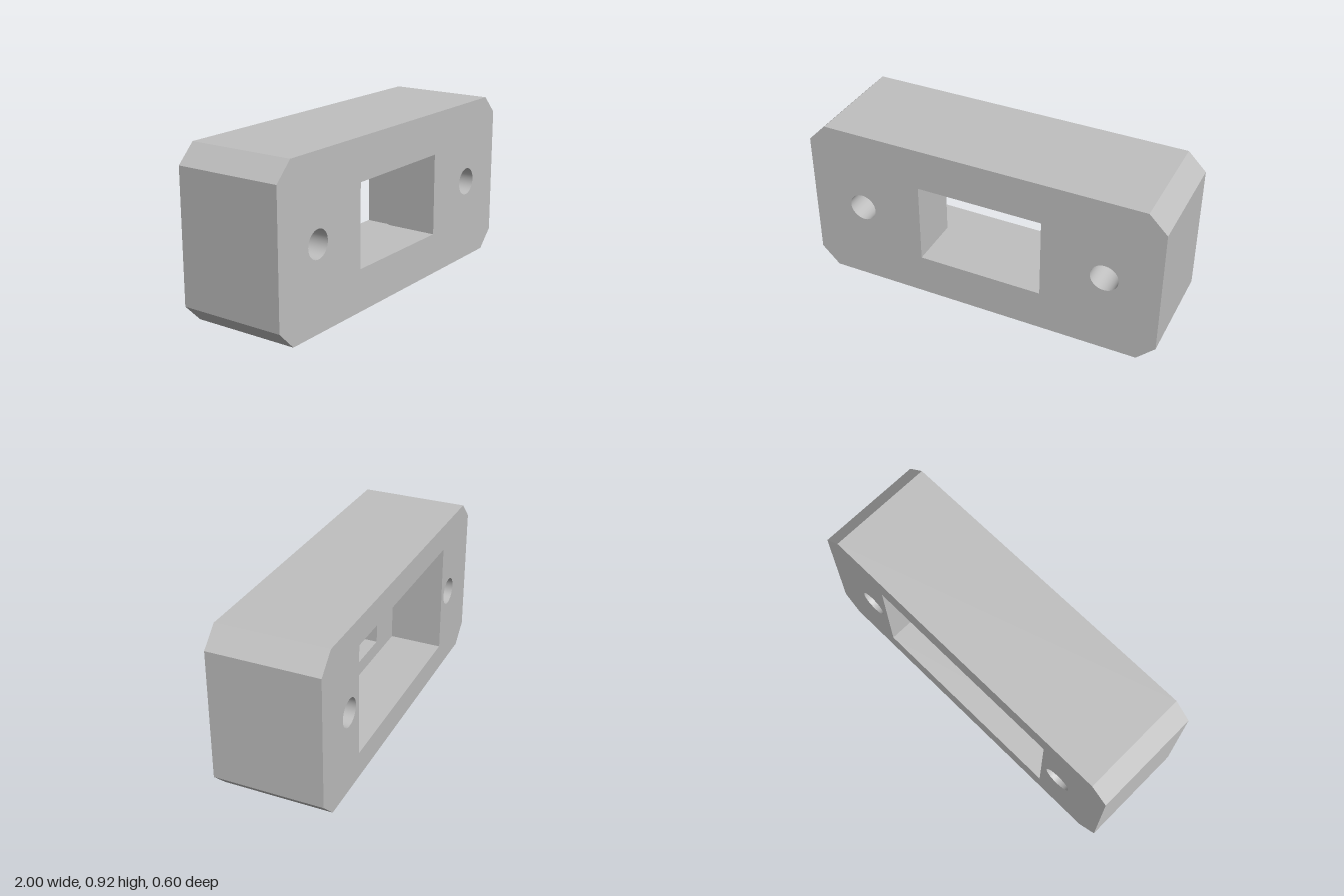
import * as THREE from 'three';

const HALF_DEPTH = 0.3, HALF_HEIGHT = 0.46, CHAMFER = 0.1;
const HOLE_X = 0.7, HOLE_R = 0.077;

// Corner loop of a rectangle centred on the origin, counter-clockwise
const rect = (hx, hy) => [[-hx, -hy], [hx, -hy], [hx, hy], [-hx, hy]];

const toPoints = (loop) => loop.map(([x, y]) => new THREE.Vector2(x, y));

// Flat quads along a loop from z0 to z1; counter-clockwise loops face outward
function wallGeometry(loop, z0, z1) {
  const pos = [];
  loop.forEach(([ax, ay], i) => {
    const [bx, by] = loop[(i + 1) % loop.length];
    pos.push(ax, ay, z0, bx, by, z0, bx, by, z1);
    pos.push(ax, ay, z0, bx, by, z1, ax, ay, z1);
  });
  const geo = new THREE.BufferGeometry();
  geo.setAttribute('position', new THREE.Float32BufferAttribute(pos, 3));
  geo.computeVertexNormals();
  return geo;
}

// Flat face with a rectangular opening and, optionally, the two bolt holes
function faceGeometry(outer, opening, bolts) {
  const shape = new THREE.Shape(toPoints(outer));
  shape.holes.push(new THREE.Path(toPoints(opening)));
  if (bolts) for (const s of [-1, 1]) {
    shape.holes.push(new THREE.Path().absarc(s * HOLE_X, 0, HOLE_R, 0, Math.PI * 2, true));
  }
  return new THREE.ShapeGeometry(shape, 24);
}

export function createModel() {
  const grey = new THREE.MeshStandardMaterial({ color: 0xc0c0c0 });
  grey.name = 'grey';
  const model = new THREE.Group();
  model.name = 'mountingBlock';
  const add = (name, geo) => {
    const mesh = new THREE.Mesh(geo, grey);
    mesh.name = name;
    mesh.position.y = HALF_HEIGHT;
    model.add(mesh);
    return mesh;
  };

  const c = CHAMFER, h = HALF_HEIGHT;
  const outline = [
    [-1 + c, -h], [1 - c, -h], [1, -h + c], [1, h - c],
    [1 - c, h], [-1 + c, h], [-1, h - c], [-1, -h + c],
  ];
  const window = rect(0.35, 0.228);
  const recess = rect(0.586, 0.313);

  // Chamfered outside and the two large faces
  add('outerWalls', wallGeometry(outline, -HALF_DEPTH, HALF_DEPTH));
  add('frontFace', faceGeometry(outline, window, true).translate(0, 0, HALF_DEPTH));
  add('backFace', faceGeometry(outline, recess, true).rotateY(Math.PI).translate(0, 0, -HALF_DEPTH));

  // Front window steps out into a wider recess halfway through
  add('windowWalls', wallGeometry([...window].reverse(), 0, HALF_DEPTH));
  add('recessWalls', wallGeometry([...recess].reverse(), -HALF_DEPTH, 0));
  add('recessFloor', faceGeometry(recess, window, false).rotateY(Math.PI));

  // Round bolt holes; the descending profile makes the bores face inward
  const profile = [new THREE.Vector2(HOLE_R, HALF_DEPTH), new THREE.Vector2(HOLE_R, -HALF_DEPTH)];
  for (const [name, s] of [['leftBoltHole', 1], ['rightBoltHole', -1]]) {
    add(name, new THREE.LatheGeometry(profile, 48).rotateX(Math.PI / 2)).position.x = s * HOLE_X;
  }
  return model;
}
